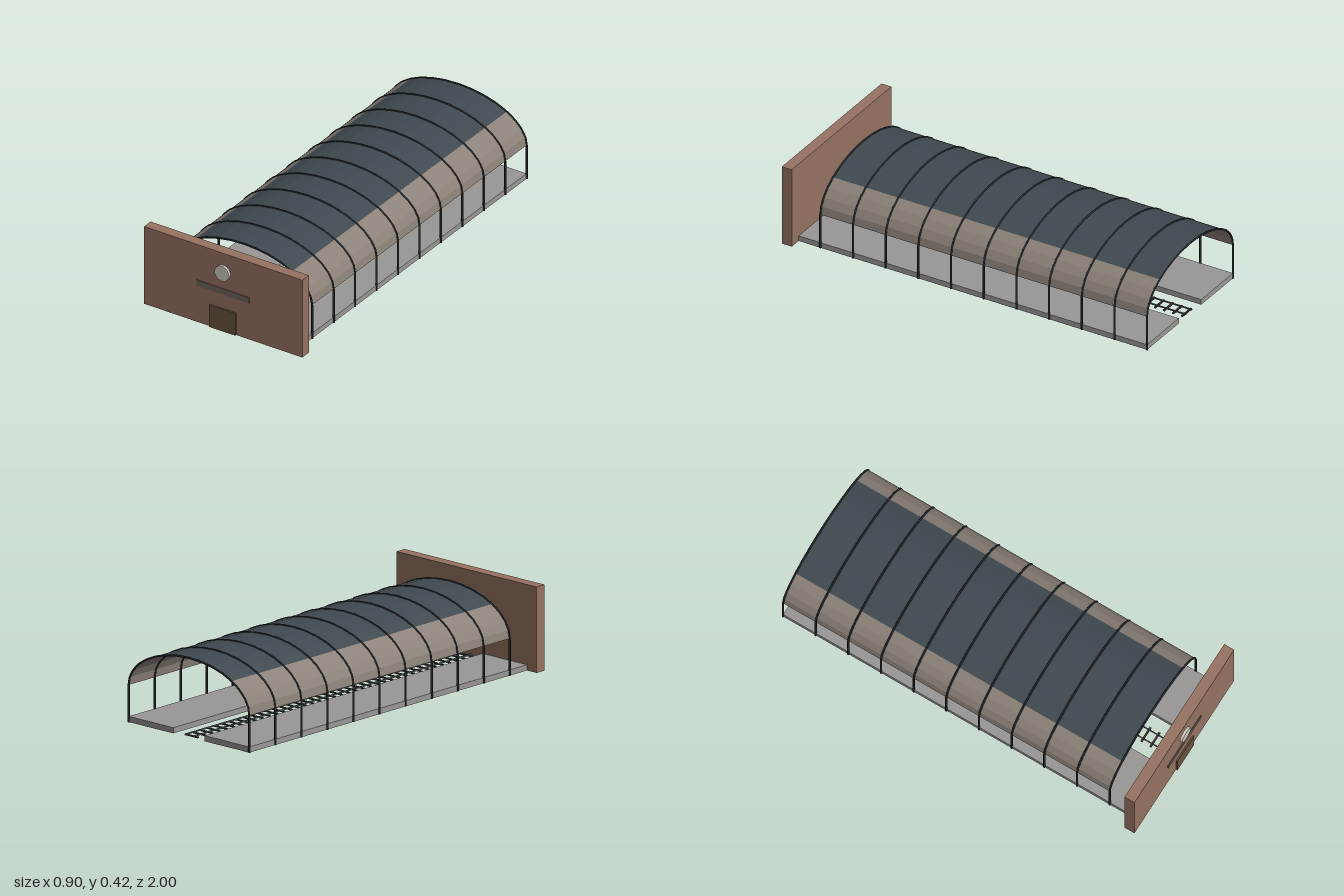
import * as THREE from 'three';

const mat = (color, opts = {}) => new THREE.MeshStandardMaterial({ color, ...opts });

export function createModel() {
  const root = new THREE.Group();
  root.name = 'railwayStation';

  const brick = mat(0x967262);
  const concrete = mat(0x9a9895);
  const iron = mat(0x22262a);
  const wood = mat(0x3d332b);
  const steel = mat(0x55585a);
  const glass = mat(0x404a50, { side: THREE.DoubleSide, flatShading: true });
  const cladding = mat(0x8c8279, { side: THREE.DoubleSide, flatShading: true });

  const add = (name, geometry, material, x, y, z, parent = root) => {
    const mesh = new THREE.Mesh(geometry, material);
    mesh.name = name;
    mesh.position.set(x, y, z);
    parent.add(mesh);
    return mesh;
  };
  const box = (name, w, h, d, material, x, y, z, parent) =>
    add(name, new THREE.BoxGeometry(w, h, d), material, x, y, z, parent);

  // Front wall with door, sign board and clock
  const front = 0.987;
  box('facade', 0.9, 0.422, 0.055, brick, 0, 0.211, front - 0.0275);
  box('door', 0.15, 0.121, 0.012, mat(0x685341), 0, 0.0605, front + 0.002);
  box('signBoard', 0.3, 0.032, 0.008, mat(0x706758), 0, 0.214, front);
  add('clock', new THREE.CylinderGeometry(0.041, 0.041, 0.016, 32), mat(0xcfcbbe), 0, 0.317, 0.992)
    .rotation.x = Math.PI / 2;

  // Platforms on both sides of the track
  for (const s of [-1, 1]) {
    box(s > 0 ? 'platformLeft' : 'platformRight', 0.287, 0.028, 1.927, concrete, s * 0.2445, 0.014, -0.0315);
  }

  // Track: sleepers and two rails
  const track = new THREE.Group();
  track.name = 'track';
  root.add(track);
  for (let i = 0; i < 39; i++) {
    box('sleeper', 0.084, 0.006, 0.01, wood, 0, 0.003, 0.925 - i * 0.05, track);
  }
  for (const s of [-1, 1]) {
    box('rail', 0.005, 0.007, 1.92, steel, s * 0.026, 0.0095, -0.03, track);
  }

  // Vaulted roof: elliptical section over straight posts
  const rx = 0.388, ry = 0.208, spring = 0.182, segs = 16;
  const zBack = -0.995, zFront = 0.812;
  const arc = (i) => {
    const a = (i / segs) * Math.PI;
    return [rx * Math.cos(a), spring + ry * Math.sin(a)];
  };

  // Strip of roof panels between two arc steps
  const roofStrip = (name, from, to, material) => {
    const pos = [], index = [];
    for (let i = from; i <= to; i++) {
      const [x, y] = arc(i);
      pos.push(x, y, zFront, x, y, zBack);
      if (i < to) {
        const k = (i - from) * 2;
        index.push(k, k + 1, k + 2, k + 1, k + 3, k + 2);
      }
    }
    const g = new THREE.BufferGeometry();
    g.setAttribute('position', new THREE.Float32BufferAttribute(pos, 3));
    g.setIndex(index);
    g.computeVertexNormals();
    add(name, g, material, 0, 0, 0);
  };
  roofStrip('roofSideLeft', 0, 4, cladding);
  roofStrip('roofGlass', 4, 12, glass);
  roofStrip('roofSideRight', 12, 16, cladding);

  // Arched ribs with posts
  const path = new THREE.CurvePath();
  for (let i = 0; i < segs; i++) {
    path.add(new THREE.LineCurve3(
      new THREE.Vector3(...arc(i), 0), new THREE.Vector3(...arc(i + 1), 0)));
  }
  const ribGeometry = new THREE.TubeGeometry(path, 48, 0.005, 6);
  const postGeometry = new THREE.CylinderGeometry(0.0055, 0.0055, spring, 8);
  const ribCount = 11;
  for (let i = 0; i < ribCount; i++) {
    const frame = new THREE.Group();
    frame.name = 'archFrame';
    frame.position.z = THREE.MathUtils.lerp(zBack, zFront, i / (ribCount - 1));
    add('rib', ribGeometry, iron, 0, 0, 0, frame);
    for (const s of [-1, 1]) add('post', postGeometry, iron, s * rx, spring / 2, 0, frame);
    root.add(frame);
  }

  return root;
}
